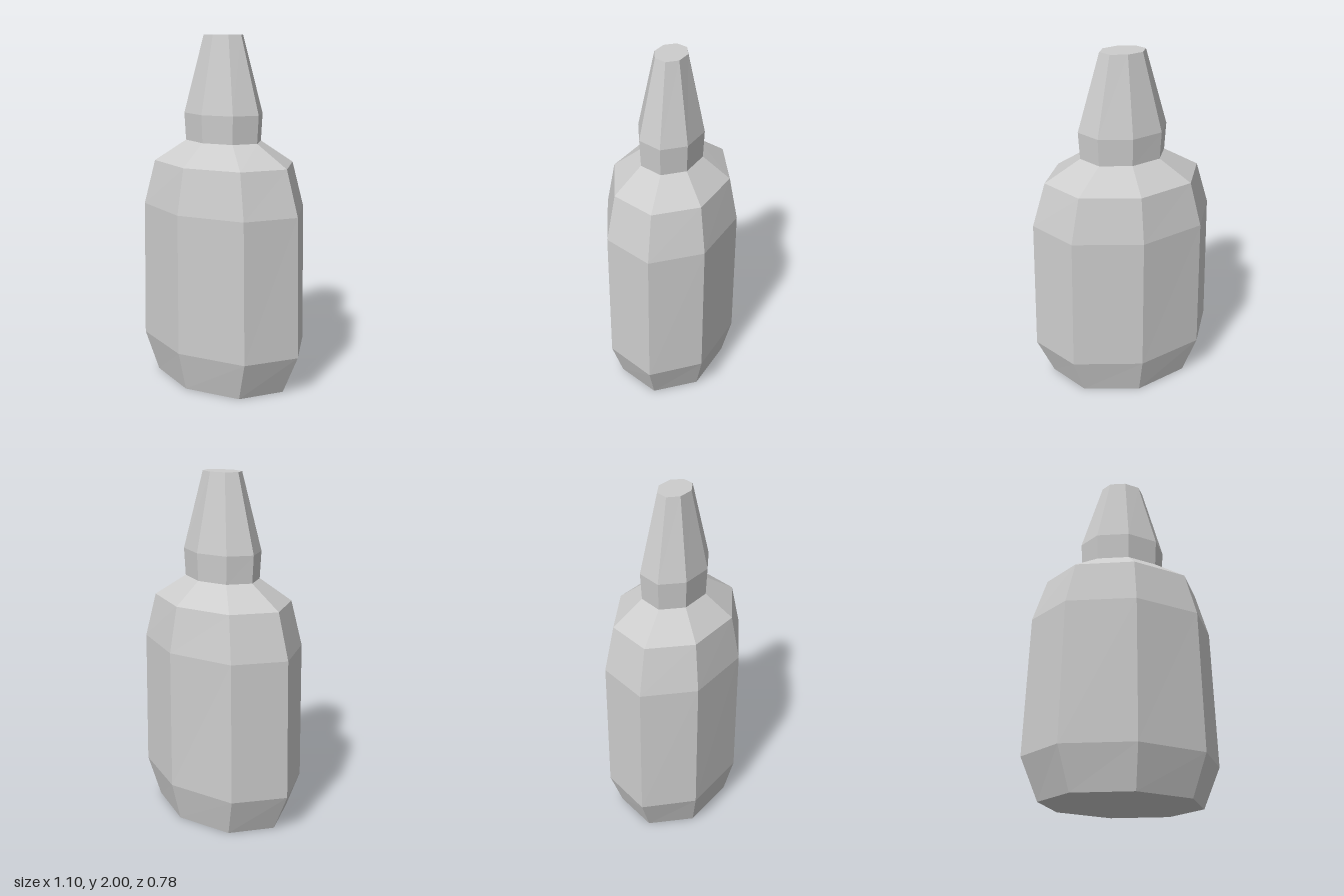
import * as THREE from 'three';

const SIDES = 8;

// Faceted solid through stacked elliptical rings [y, half width, half depth]
function loft(rings, capBottom, capTop) {
  const pos = [];
  const index = [];
  const n = rings.length;
  for (const [y, rx, rz] of rings) {
    for (let i = 0; i < SIDES; i++) {
      const a = (i / SIDES) * Math.PI * 2;
      pos.push(rx * Math.sin(a), y, rz * Math.cos(a));
    }
  }
  const at = (r, i) => r * SIDES + (i % SIDES);
  for (let r = 0; r < n - 1; r++) {
    for (let i = 0; i < SIDES; i++) {
      index.push(at(r, i), at(r, i + 1), at(r + 1, i + 1));
      index.push(at(r, i), at(r + 1, i + 1), at(r + 1, i));
    }
  }
  for (let i = 1; i < SIDES - 1; i++) {
    if (capBottom) index.push(at(0, 0), at(0, i + 1), at(0, i));
    if (capTop) index.push(at(n - 1, 0), at(n - 1, i), at(n - 1, i + 1));
  }
  const indexed = new THREE.BufferGeometry();
  indexed.setAttribute('position', new THREE.Float32BufferAttribute(pos, 3));
  indexed.setIndex(index);
  // Unshared corners give flat facets
  const geometry = indexed.toNonIndexed();
  geometry.computeVertexNormals();
  return geometry;
}

export function createModel() {
  const group = new THREE.Group();
  group.name = 'bottle';
  const grey = new THREE.MeshStandardMaterial({ color: 0xcccccc });
  grey.name = 'light grey';

  const add = (name, geometry) => {
    const mesh = new THREE.Mesh(geometry, grey);
    mesh.name = name;
    group.add(mesh);
  };

  // Squeezable body with tapered foot and sloping shoulder
  add('body', loft([
    [0, 0.45, 0.333],
    [0.235, 0.549, 0.39],
    [1.04, 0.528, 0.384],
    [1.295, 0.45, 0.333],
    [1.415, 0.245, 0.178],
  ], true, false));

  // Collar and tapering nozzle
  add('nozzle', loft([
    [1.415, 0.245, 0.178],
    [1.57, 0.254, 0.185],
    [2, 0.128, 0.089],
  ], false, true));

  return group;
}
